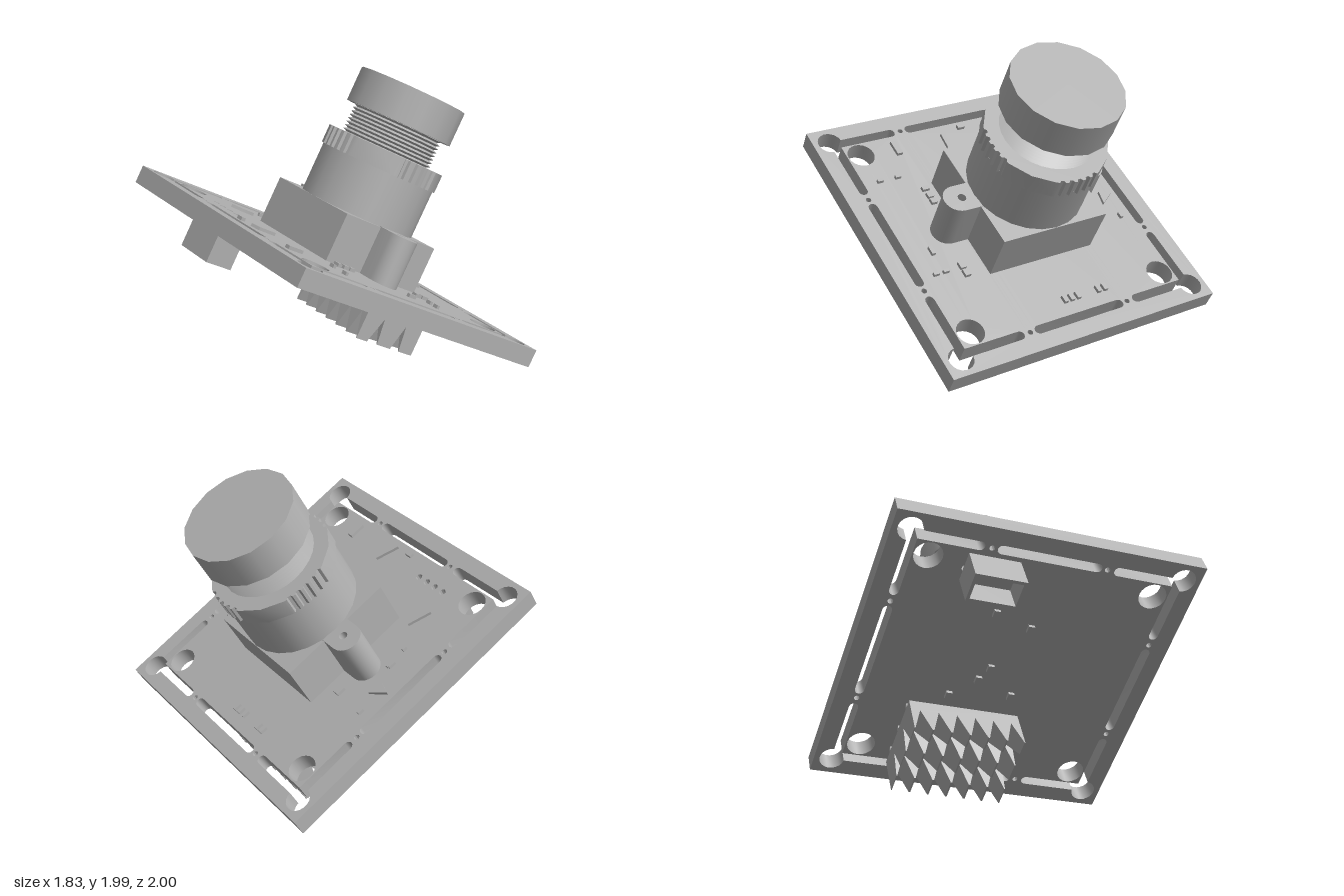
import * as THREE from 'three';
import { toCreasedNormals } from 'three/addons/utils/BufferGeometryUtils.js';

const grey = new THREE.MeshStandardMaterial({ color: 0xb0b0b0 });
grey.name = 'grey';

const V = (x, z) => new THREE.Vector2(x, -z);

// Points of an arc in the board plane
function arc(cx, cz, r, a0, a1, n) {
  const pts = [];
  for (let i = 0; i <= n; i++) {
    const a = a0 + (a1 - a0) * i / n;
    pts.push(V(cx + r * Math.cos(a), cz + r * Math.sin(a)));
  }
  return pts;
}
const circle = (cx, cz, r, n = 16) => arc(cx, cz, r, 0, Math.PI * 2 * (n - 1) / n, n - 1);

// Straight-sided solid standing on height y0, with an outline in the board plane
function prism(name, outline, holes, y0, y1) {
  const shape = new THREE.Shape(outline);
  shape.holes = holes.map(h => new THREE.Path(h));
  let g = new THREE.ExtrudeGeometry(shape, { depth: y1 - y0, bevelEnabled: false });
  g.rotateX(-Math.PI / 2).translate(0, y0, 0);
  g = toCreasedNormals(g, 0.6);
  const m = new THREE.Mesh(g, grey);
  m.name = name;
  return m;
}

function rect(x0, x1, z0, z1) {
  return [V(x0, z0), V(x0, z1), V(x1, z1), V(x1, z0)];
}

function box(name, x0, x1, y0, y1, z0, z1) {
  const m = new THREE.Mesh(new THREE.BoxGeometry(x1 - x0, y1 - y0, z1 - z0), grey);
  m.position.set((x0 + x1) / 2, (y0 + y1) / 2, (z0 + z1) / 2);
  m.name = name;
  return m;
}

function drum(name, r, y0, y1, sides) {
  const m = new THREE.Mesh(new THREE.CylinderGeometry(r, r, y1 - y0, sides), grey);
  m.position.y = (y0 + y1) / 2;
  m.name = name;
  return m;
}

// Board with mounting holes, corner cut-outs and break-away slots
function makeBoard() {
  const P = Math.PI, holes = [];
  for (const sx of [-1, 1]) for (const sz of [-1, 1]) {
    holes.push(circle(sx * 0.733, sz * 0.733, 0.09, 20));
    const corner = [
      V(0.83, 0.83),
      ...arc(0.86, 0.45, 0.03, -P, 0, 6),
      ...arc(0.885, 0.885, 0.08, -1.5, P - 0.07, 14),
      ...arc(0.45, 0.86, 0.03, P / 2, P * 1.5, 6),
    ];
    holes.push(corner.map(p => new THREE.Vector2(p.x * sx, p.y * sz)));
    holes.push(circle(sx * 0.375, sz * 0.86, 0.018, 10), circle(sx * 0.86, sz * 0.375, 0.018, 10));
  }
  for (const s of [-1, 1]) {
    const slot = [...arc(0.31, s * 0.86, 0.03, -P / 2, P / 2, 6), ...arc(-0.31, s * 0.86, 0.03, P / 2, P * 1.5, 6)];
    holes.push(slot, slot.map(p => new THREE.Vector2(p.y, p.x)));
  }
  for (let i = 0; i < 4; i++) holes.push(circle(-0.69, -0.49 + i * 0.08, 0.022, 10));
  return prism('board', rect(-1, 1, -1, 1), holes, -0.12, 0);
}

// Lens housing, grip ring, screw thread and cap
function makeLens() {
  const g = new THREE.Group();
  g.name = 'lens';
  g.add(box('lensMount', -0.39, 0.39, 0, 0.313, -0.39, 0.39));
  for (const s of [-1, 1]) {
    const outline = [V(0.1, s * 0.38), ...arc(0, s * 0.5, 0.1, 0, s * Math.PI, 12), V(-0.1, s * 0.38)];
    g.add(prism('mountEar', outline, [circle(0, s * 0.475, 0.028, 12)], 0, 0.317));
  }
  g.add(drum('barrel', 0.387, 0.31, 0.65, 24));

  // Ring with four groups of grip ridges
  const ring = [];
  for (let q = 0; q < 4; q++) {
    const mid = q * Math.PI / 2;
    for (let i = -5; i <= 5; i++) {
      const a = mid + i * 0.075;
      const ridge = i % 2 !== 0;
      for (const d of [-0.025, 0.025]) {
        const r = ridge ? 0.402 : 0.385;
        ring.push(V(r * Math.cos(a + d), r * Math.sin(a + d)));
      }
    }
    ring.push(V(0.4 * Math.cos(mid + Math.PI / 4), 0.4 * Math.sin(mid + Math.PI / 4)));
  }
  g.add(prism('gripRing', ring, [], 0.637, 0.76));

  // Saw-tooth thread profile
  const profile = [], turns = 9, y0 = 0.74, step = 0.22 / 9;
  for (let i = 0; i < turns; i++) {
    profile.push(new THREE.Vector2(0.282, y0 + i * step), new THREE.Vector2(0.308, y0 + (i + 0.5) * step));
  }
  profile.push(new THREE.Vector2(0.282, y0 + turns * step));
  const thread = new THREE.Mesh(toCreasedNormals(new THREE.LatheGeometry(profile, 28), 0.5), grey);
  thread.name = 'screwThread';
  g.add(thread);
  g.add(drum('lensCap', 0.364, 0.95, 1.18, 16));
  return g;
}

// Underside header: slab with rows of wedge-shaped teeth on thin pins
function makeHeader() {
  const g = new THREE.Group();
  g.name = 'header';
  const rows = [[0.293, 0.455, 0.293, 0.39], [0.455, 0.66, 0.485, 0.608], [0.66, 0.812, 0.69, 0.812]];
  const z0 = -0.55, z1 = 0.18, pitch = (z1 - z0) / 6;
  g.add(box('headerBody', 0.293, 0.812, -0.26, -0.175, z0, z1));
  for (const [a, b, ta, tb] of rows) for (let i = 0; i < 7; i++) {
    const zc = z0 + i * pitch;
    const zl = Math.max(z0, zc - pitch / 2), zr = Math.min(z1, zc + pitch / 2);
    const tooth = new THREE.BoxGeometry(1, 1, 1).toNonIndexed();
    const p = tooth.attributes.position;
    for (let k = 0; k < p.count; k++) {
      const hi = p.getX(k) > 0, up = p.getY(k) > 0, far = p.getZ(k) > 0;
      const tip = THREE.MathUtils.clamp(zc + (far ? 0.005 : -0.005), z0, z1);
      p.setXYZ(k, up ? (hi ? b : a) : (hi ? tb : ta), up ? -0.259 : -0.437, up ? (far ? zr : zl) : tip);
    }
    tooth.computeVertexNormals();
    const m = new THREE.Mesh(tooth, grey);
    m.name = 'headerTooth';
    g.add(m);
    const c = (a + b) / 2, pz = THREE.MathUtils.clamp(zc, z0 + 0.02, z1 - 0.02);
    g.add(box('headerPin', c - 0.012, c + 0.012, -0.18, -0.11, pz - 0.012, pz + 0.012));
  }
  return g;
}

// Small surface components: x, z, width, depth
function makeComponents() {
  const g = new THREE.Group();
  g.name = 'components';
  const top = [
    [-0.72, 0.48, 0.11, 0.04], [-0.78, -0.05, 0.03, 0.05], [-0.11, -0.64, 0.05, 0.03], [-0.24, -0.62, 0.03, 0.02],
    [0.24, -0.74, 0.04, 0.02], [-0.35, 0.46, 0.03, 0.05], [-0.29, 0.46, 0.04, 0.04], [-0.24, 0.46, 0.04, 0.04],
    [0.28, 0.54, 0.05, 0.04], [0.34, 0.54, 0.05, 0.04], [0.12, 0.67, 0.06, 0.025], [0.29, 0.66, 0.02, 0.04],
    [0.29, 0.73, 0.02, 0.04], [-0.49, 0.59, 0.02, 0.04], [-0.49, 0.72, 0.02, 0.04], [0.22, -0.49, 0.06, 0.05],
    [-0.1, -0.63, 0.04, 0.025],
    ...[0.03, -0.02, -0.07, -0.23, -0.28].map(z => [0.72, z, 0.05, 0.028]),
  ];
  for (const [x, z, w, d] of top) g.add(box('topComponent', x - w / 2, x + w / 2, -0.005, 0.022, z - d / 2, z + d / 2));
  const under = [[-0.01, -0.1], [0.09, -0.15], [0.18, 0.1], [0.24, -0.3], [-0.35, 0.05], [-0.42, -0.2]];
  for (const [x, z] of under) g.add(box('underComponent', x - 0.025, x + 0.025, -0.142, -0.115, z - 0.02, z + 0.02));
  // Three-cornered chips
  const chips = [
    [V(0.02, -0.7), V(0.12, -0.68), V(0.05, -0.79)],
    [V(-0.53, -0.56), V(-0.38, -0.5), V(-0.47, -0.51)],
    [V(-0.78, 0.07), V(-0.63, 0.135), V(-0.75, 0.125)],
  ];
  for (const c of chips) g.add(prism('triangularChip', c, [], -0.002, 0.02));
  return g;
}

export function createModel() {
  const root = new THREE.Group();
  root.name = 'cameraModule';
  const tilted = new THREE.Group();
  tilted.name = 'tiltedAssembly';
  tilted.position.set(0.005, 0.795, 0);
  tilted.rotation.z = -Math.PI / 6;
  // Open socket beneath the pin holes
  const socket = prism('socket', rect(-0.8, -0.605, -0.5, -0.17), [rect(-0.78, -0.625, -0.48, -0.19)], -0.338, -0.115);
  tilted.add(makeBoard(), makeLens(), makeHeader(), makeComponents(), socket,
    box('socketBase', -0.79, -0.615, -0.17, -0.13, -0.49, -0.18));
  root.add(tilted);
  return root;
}
